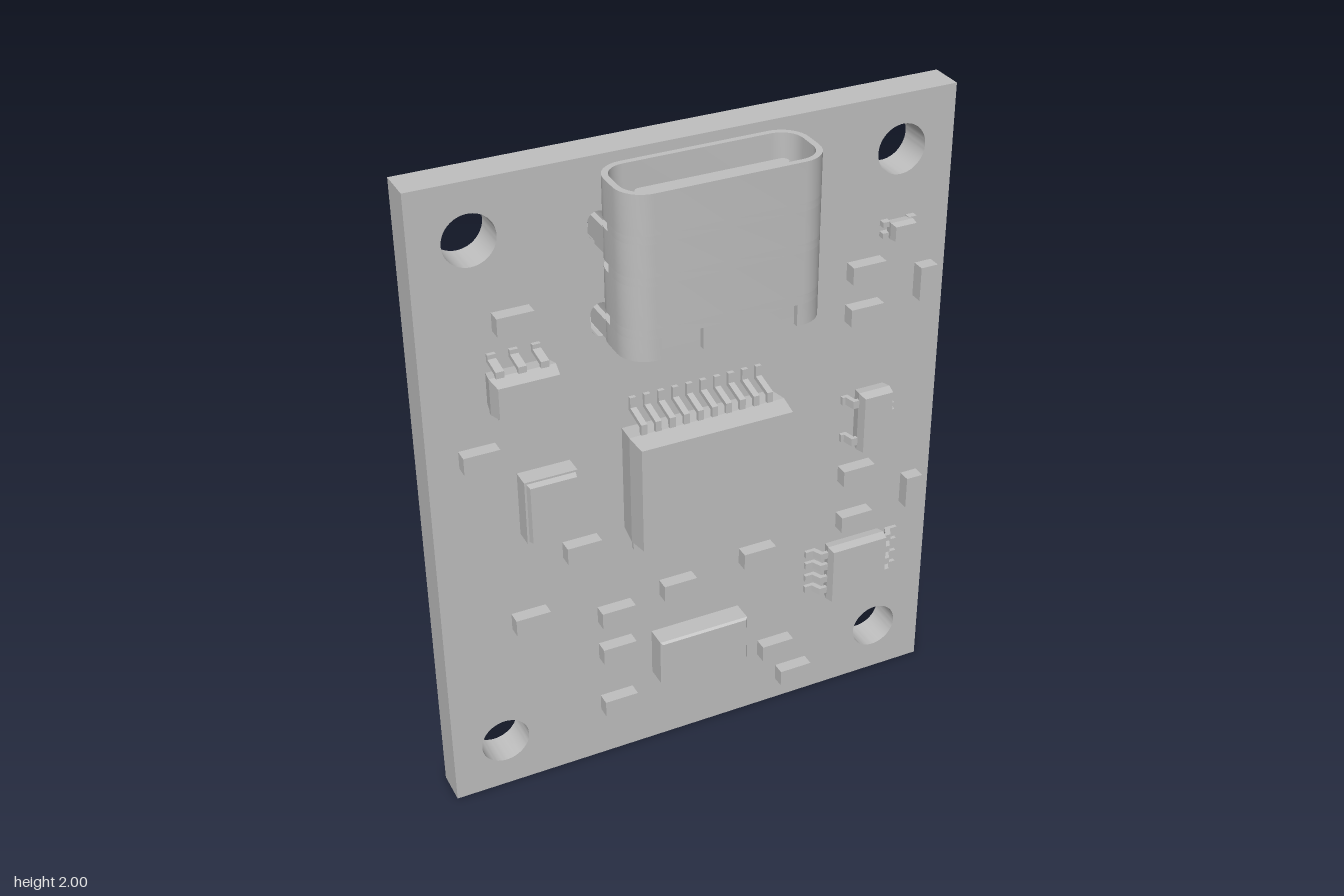
import * as THREE from 'three';
import { toCreasedNormals } from 'three/addons/utils/BufferGeometryUtils.js';

const FACE = -0.055; // z of the board's component side

export function createModel() {
  const model = new THREE.Group();
  model.name = 'circuitBoard';
  const grey = new THREE.MeshStandardMaterial({ color: 0xbfbfbf });
  grey.name = 'plain grey';

  function add(parent, name, geo) {
    const m = new THREE.Mesh(geo, grey);
    m.name = name;
    parent.add(m);
    return m;
  }
  function group(name) {
    const g = new THREE.Group();
    g.name = name;
    model.add(g);
    return g;
  }
  // Box given by its limits
  function box(parent, name, x0, x1, y0, y1, z0, z1) {
    const m = add(parent, name, new THREE.BoxGeometry(x1 - x0, y1 - y0, z1 - z0));
    m.position.set((x0 + x1) / 2, (y0 + y1) / 2, (z0 + z1) / 2);
    return m;
  }
  // Moulded chip body: widest at the waist, tapered towards both faces
  function body(parent, x0, x1, y0, y1, z0, z1, inset) {
    const geo = new THREE.BoxGeometry(x1 - x0, y1 - y0, z1 - z0, 1, 1, 2).toNonIndexed();
    const p = geo.attributes.position;
    for (let i = 0; i < p.count; i++) {
      if (Math.abs(p.getZ(i)) < 1e-4) continue;
      p.setX(i, p.getX(i) - Math.sign(p.getX(i)) * inset);
      p.setY(i, p.getY(i) - Math.sign(p.getY(i)) * inset);
    }
    geo.computeVertexNormals();
    add(parent, 'body', geo).position.set((x0 + x1) / 2, (y0 + y1) / 2, (z0 + z1) / 2);
  }
  // Gull-wing lead leaving the body at (x, y) in direction (dx, dy)
  function lead(parent, x, y, dx, dy, length, width, top) {
    const t = 0.012, b = FACE;
    const s = new THREE.Shape([
      [-0.01, top - t], [length * 0.25, top - t], [length * 0.45, b], [length, b],
      [length, b + t], [length * 0.45 + t, b + t], [length * 0.25 + t, top], [-0.01, top],
    ].map(([u, v]) => new THREE.Vector2(u, v)));
    const geo = new THREE.ExtrudeGeometry(s, { depth: width, bevelEnabled: false });
    geo.translate(0, 0, -width / 2);
    const d = new THREE.Vector3(dx, dy, 0), up = new THREE.Vector3(0, 0, 1);
    geo.applyMatrix4(new THREE.Matrix4().makeBasis(d, up, d.clone().cross(up)));
    add(parent, 'lead', geo).position.set(x, y, 0);
  }

  // Board with mounting holes, shell slots and locating holes
  const outline = new THREE.Shape();
  outline.moveTo(-0.8, 0).lineTo(0.8, 0).lineTo(0.8, 2).lineTo(-0.8, 2).closePath();
  const slot = (x, y, r, half) => {
    const h = new THREE.Path();
    h.absarc(x, y + half, r, 0, Math.PI, false);
    h.absarc(x, y - half, r, Math.PI, Math.PI * 2, false);
    h.closePath();
    outline.holes.push(h);
  };
  for (const s of [-1, 1]) {
    slot(s * 0.635, 0.167, 0.075, 0.0001);
    slot(s * 0.635, 1.835, 0.075, 0.0001);
    slot(s * 0.28, 1.8, 0.031, 0.012);
    slot(s * 0.28, 1.522, 0.031, 0.02);
    slot(s * 0.2, 1.53, 0.019, 0.0001);
  }
  const boardGeo = new THREE.ExtrudeGeometry(outline, { depth: 0.105, bevelEnabled: false, curveSegments: 16 });
  boardGeo.translate(0, 0, -0.16);
  add(model, 'board', toCreasedNormals(boardGeo, 0.6));

  // Connector shell, stacked along y from bands of a rounded rectangle
  const port = group('connector');
  const T = 0.018, W = 0.295, F = 0.16, R = 0.08;
  const corner = (k, off) => {
    const cx = (k === 0 || k === 3 ? 1 : -1) * (W - R);
    const cz = k < 2 ? F - R : FACE + R;
    return Array.from({ length: 9 }, (_, i) => {
      const a = (k + i / 8) * Math.PI / 2;
      return new THREE.Vector2(cx + Math.cos(a) * (R - off), cz + Math.sin(a) * (R - off));
    });
  };
  const loop = off => [0, 1, 2, 3].flatMap(k => corner(k, off));
  const rise = (name, shape, y0, y1) => {
    const geo = new THREE.ExtrudeGeometry(shape, { depth: y1 - y0, bevelEnabled: false });
    geo.rotateX(Math.PI / 2).translate(0, y1, 0);
    add(port, name, toCreasedNormals(geo, 0.6));
  };
  const band = (ks, start, end, y0, y1) => {
    const side = off => [start(off), ...ks.flatMap(k => corner(k, off)), end(off)];
    rise('shell', new THREE.Shape([...side(0), ...side(T).reverse()]), y0, y1);
  };
  const V = (x, z) => new THREE.Vector2(x, z);
  for (const [y0, y1] of [[1.583, 1.71], [1.735, 1.83], [1.853, 1.97]]) {
    const ring = new THREE.Shape(loop(0));
    ring.holes.push(new THREE.Path(loop(T)));
    rise('shell', ring, y0, y1);
  }
  for (const [y0, y1] of [[1.555, 1.583], [1.71, 1.735], [1.83, 1.853]]) {
    band([0, 1], o => V(W - o, 0.04), o => V(o - W, 0.04), y0, y1);
    box(port, 'shellFloor', -0.25, 0.25, y0, y1, FACE, FACE + T);
  }
  // Rear edge with two notches
  band([3, 0], o => V(0, FACE + o), o => V(0.2, F - o), 1.49, 1.555);
  band([1, 2], o => V(-0.2, F - o), o => V(0, FACE + o), 1.49, 1.555);
  box(port, 'rearTab', -0.08, 0.08, 1.49, 1.555, F - T, F);
  // Plastic core and tongue
  rise('core', new THREE.Shape(loop(T)), 1.51, 1.64);
  const tongue = new THREE.Shape();
  tongue.absarc(0.203, 0.053, 0.018, -Math.PI / 2, Math.PI / 2, false);
  tongue.absarc(-0.203, 0.053, 0.018, Math.PI / 2, Math.PI * 1.5, false);
  rise('tongue', tongue, 1.64, 1.93);
  for (const s of [-1, 1]) {
    for (const [y0, y1] of [[1.75, 1.825], [1.495, 1.55]]) {
      box(port, 'shellLeg', s * 0.284 - 0.008, s * 0.284 + 0.008, y0, y1, -0.1, 0.03);
    }
  }
  for (let i = 0; i < 12; i++) {
    const x = -0.215 + i * 0.43 / 11;
    box(port, 'contact', x - 0.01, x + 0.01, 1.45, 1.53, FACE, -0.038);
  }

  // Main chip with ten leads on each long side
  const main = group('mainChip');
  body(main, -0.243, 0.239, 0.83, 1.18, -0.04, 0.095, 0.007);
  for (let i = 0; i < 10; i++) {
    const x = -0.198 + i * 0.0435;
    lead(main, x, 1.18, 0, 1, 0.08, 0.018, 0.03);
    lead(main, x, 0.83, 0, -1, 0.085, 0.018, 0.03);
  }

  // Six-lead chip
  const six = group('sixLeadChip');
  body(six, -0.63, -0.44, 1.35, 1.46, -0.04, 0.055, 0.008);
  for (const x of [-0.6, -0.537, -0.473]) {
    lead(six, x, 1.455, 0, 1, 0.045, 0.024, 0.015);
    lead(six, x, 1.355, 0, -1, 0.04, 0.024, 0.015);
  }

  // Three-lead chip
  const three = group('threeLeadChip');
  body(three, 0.512, 0.615, 0.905, 1.1, -0.045, 0.018, 0.005);
  lead(three, 0.515, 1.065, -1, 0, 0.04, 0.025, -0.01);
  lead(three, 0.515, 0.935, -1, 0, 0.04, 0.025, -0.01);
  lead(three, 0.612, 1.003, 1, 0, 0.043, 0.025, -0.01);

  // Eight-lead chip
  const eight = group('eightLeadChip');
  body(eight, 0.432, 0.627, 0.37, 0.567, -0.045, 0.012, 0.005);
  for (const y of [0.537, 0.494, 0.447, 0.405]) {
    lead(eight, 0.435, y, -1, 0, 0.065, 0.022, -0.015);
    lead(eight, 0.625, y, 1, 0, 0.068, 0.022, -0.015);
  }

  // Four-lead tiny chip
  const tiny = group('tinyChip');
  body(tiny, 0.595, 0.667, 1.58, 1.63, -0.05, 0, 0.003);
  for (const y of [1.588, 1.622]) {
    box(tiny, 'lead', 0.577, 0.6, y - 0.008, y + 0.008, FACE, -0.035);
    box(tiny, 'lead', 0.66, 0.685, y - 0.008, y + 0.008, FACE, -0.035);
  }

  // Crystal: base and stepped lid
  const crystal = group('crystal');
  box(crystal, 'base', -0.547, -0.389, 0.9, 1.103, FACE, 0);
  body(crystal, -0.541, -0.395, 0.906, 1.097, -0.02, 0.02, 0.004);

  // Large passive part
  const large = group('largePart');
  box(large, 'base', -0.15, 0.141, 0.26, 0.415, FACE, 0.008);
  body(large, -0.15, 0.141, 0.26, 0.415, 0, 0.016, 0.005);

  // Small passive parts
  const small = group('passives');
  const flat = [
    [-0.537, 1.59], [-0.656, 1.193], [-0.37, 0.804], [-0.537, 0.603], [-0.27, 0.537],
    [-0.27, 0.402], [-0.27, 0.201], [-0.069, 0.571], [0.196, 0.603], [0.529, 1.492],
    [0.529, 1.357], [0.529, 0.804], [0.529, 0.635], [0.265, 0.225], [0.331, 0.103],
  ];
  const upright = [[0.728, 1.415], [0.728, 0.688]];
  const passive = (x, y, hx, hy) => box(small, 'passive', x - hx, x + hx, y - hy, y + hy, FACE, -0.015);
  flat.forEach(([x, y]) => passive(x, y, 0.053, 0.027));
  upright.forEach(([x, y]) => passive(x, y, 0.027, 0.053));

  return model;
}
